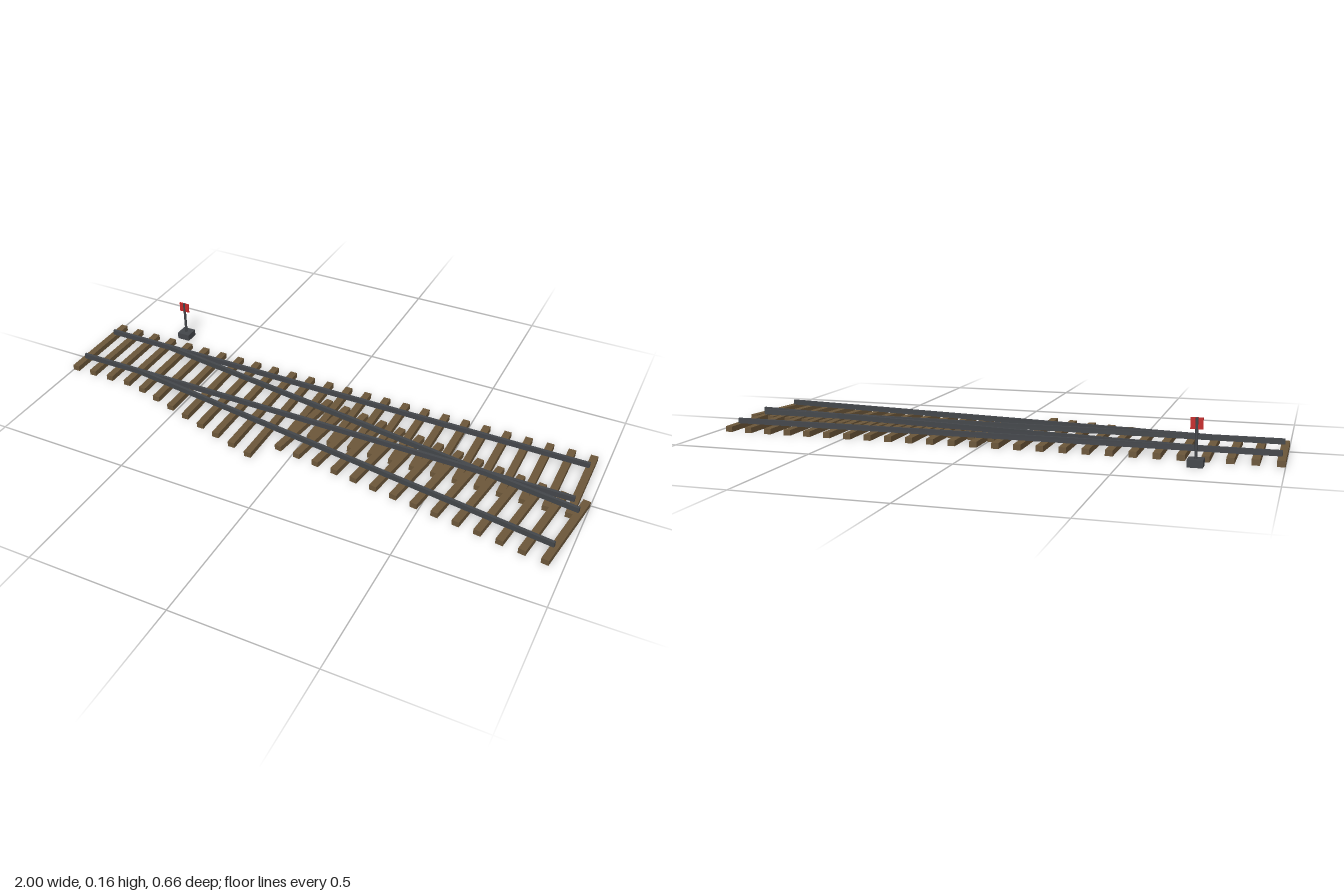
import * as THREE from 'three';

const TIE_W = 0.026, TIE_H = 0.02, TIE_L = 0.33;
const RAIL_W = 0.011, RAIL_H = 0.019, HALF_GAUGE = 0.0965;
const ANGLE = THREE.MathUtils.degToRad(8);

const wood = new THREE.MeshStandardMaterial({ color: 0x6b5639 });
const steel = new THREE.MeshStandardMaterial({ color: 0x43464a });
const red = new THREE.MeshStandardMaterial({ color: 0xc62828 });

// Box whose underside sits at height y
function box(parent, name, material, size, x, y, z) {
  const mesh = new THREE.Mesh(new THREE.BoxGeometry(...size), material);
  mesh.name = name;
  mesh.position.set(x, y + size[1] / 2, z);
  parent.add(mesh);
  return mesh;
}

// Pair of rails along local x, from x0 to x1
function rails(parent, name, x0, x1) {
  for (const side of [-1, 1]) {
    box(parent, name, steel, [x1 - x0, RAIL_H, RAIL_W], (x0 + x1) / 2, TIE_H, side * HALF_GAUGE);
  }
}

export function createModel() {
  const model = new THREE.Group();
  model.name = 'railwaySwitch';

  // Straight track; ties lengthen towards the branch past the switch points
  const straight = new THREE.Group();
  straight.name = 'straightTrack';
  straight.position.z = -0.073;
  const first = -0.987, step = 0.0775, count = 26;
  for (let i = 0; i < count; i++) {
    const extra = i >= 4 && i <= 11 ? 0.014 + 0.0237 * (i - 4) : 0;
    box(straight, extra ? 'longTie' : 'straightTie', wood,
      [TIE_W, TIE_H, TIE_L + extra], first + i * step, 0, -0.003 + extra / 2);
  }
  rails(straight, 'straightRail', first, first + (count - 1) * step);
  model.add(straight);

  // Branch track, turned about the switch points
  const branch = new THREE.Group();
  branch.name = 'branchTrack';
  branch.position.set(-0.737, 0, -0.073);
  branch.rotation.y = -ANGLE;
  const end = 1.718;
  for (let i = 0; i < 14; i++) {
    box(branch, 'branchTie', wood, [TIE_W, TIE_H, TIE_L], end - i * step, 0, 0);
  }
  rails(branch, 'branchRail', 0, end);
  model.add(branch);

  // Switch stand with its red target
  const stand = new THREE.Group();
  stand.name = 'switchStand';
  stand.position.set(-0.732, 0, -0.306);
  box(stand, 'standBase', steel, [0.05, 0.025, 0.05], 0, 0, 0);
  const post = new THREE.Mesh(new THREE.CylinderGeometry(0.005, 0.005, 0.13, 8), steel);
  post.name = 'standPost';
  post.position.y = 0.09;
  stand.add(post);
  box(stand, 'standTarget', red, [0.04, 0.037, 0.004], 0, 0.118, 0);
  model.add(stand);

  return model;
}
